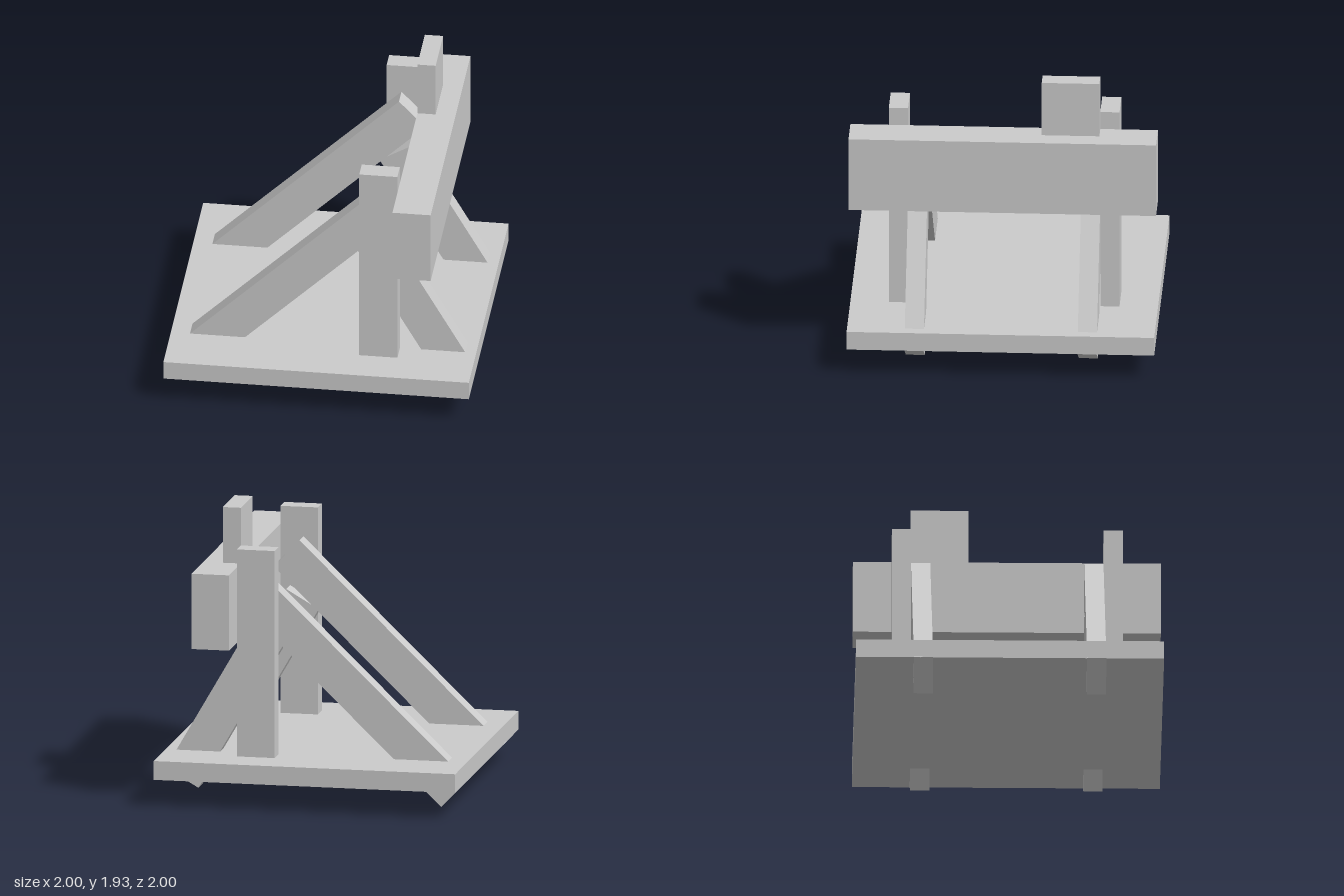
import * as THREE from 'three';

const material = new THREE.MeshStandardMaterial({ color: 0xcccccc, flatShading: true });

// Box given by its lower and upper corners
function block(name, [x0, y0, z0], [x1, y1, z1]) {
  const mesh = new THREE.Mesh(new THREE.BoxGeometry(x1 - x0, y1 - y0, z1 - z0), material);
  mesh.name = name;
  mesh.position.set((x0 + x1) / 2, (y0 + y1) / 2, (z0 + z1) / 2);
  return mesh;
}

// Sloping timber: starts at the middle of its foot and rises along the given angle
function brace(name, footX, footY, degrees, length, z) {
  const angle = THREE.MathUtils.degToRad(degrees);
  const mesh = new THREE.Mesh(new THREE.BoxGeometry(length, 0.25, 0.125), material);
  mesh.name = name;
  mesh.rotation.z = angle;
  mesh.position.set(
    footX + Math.cos(angle) * length / 2,
    footY + Math.sin(angle) * length / 2,
    z
  );
  return mesh;
}

export function createModel() {
  const model = new THREE.Group();
  model.name = 'timberFrame';

  // Platform, crossbeam and the block standing on it
  model.add(block('basePlate', [-1, 0.18, -1], [1, 0.305, 1]));
  model.add(block('crossbeam', [0.5, 1.06, -1], [0.75, 1.56, 1]));
  model.add(block('topBlock', [0.5, 1.56, -0.625], [0.62, 1.93, -0.25]));

  // Upright and its two braces on each side; brace feet poke through the plate
  for (const side of [-1, 1]) {
    const name = side > 0 ? 'front' : 'back';
    const z = side * 0.6875;
    model.add(block(name + 'Post', [0.25, 0.305, z - 0.0625], [0.5, 1.68, z + 0.0625]));
    model.add(brace(name + 'LongBrace', -0.915, 0.092, 44, 1.875, side * 0.5625));
    model.add(brace(name + 'ShortBrace', 0.89, 0.12, 120, 1.125, side * 0.5625));
  }
  return model;
}
